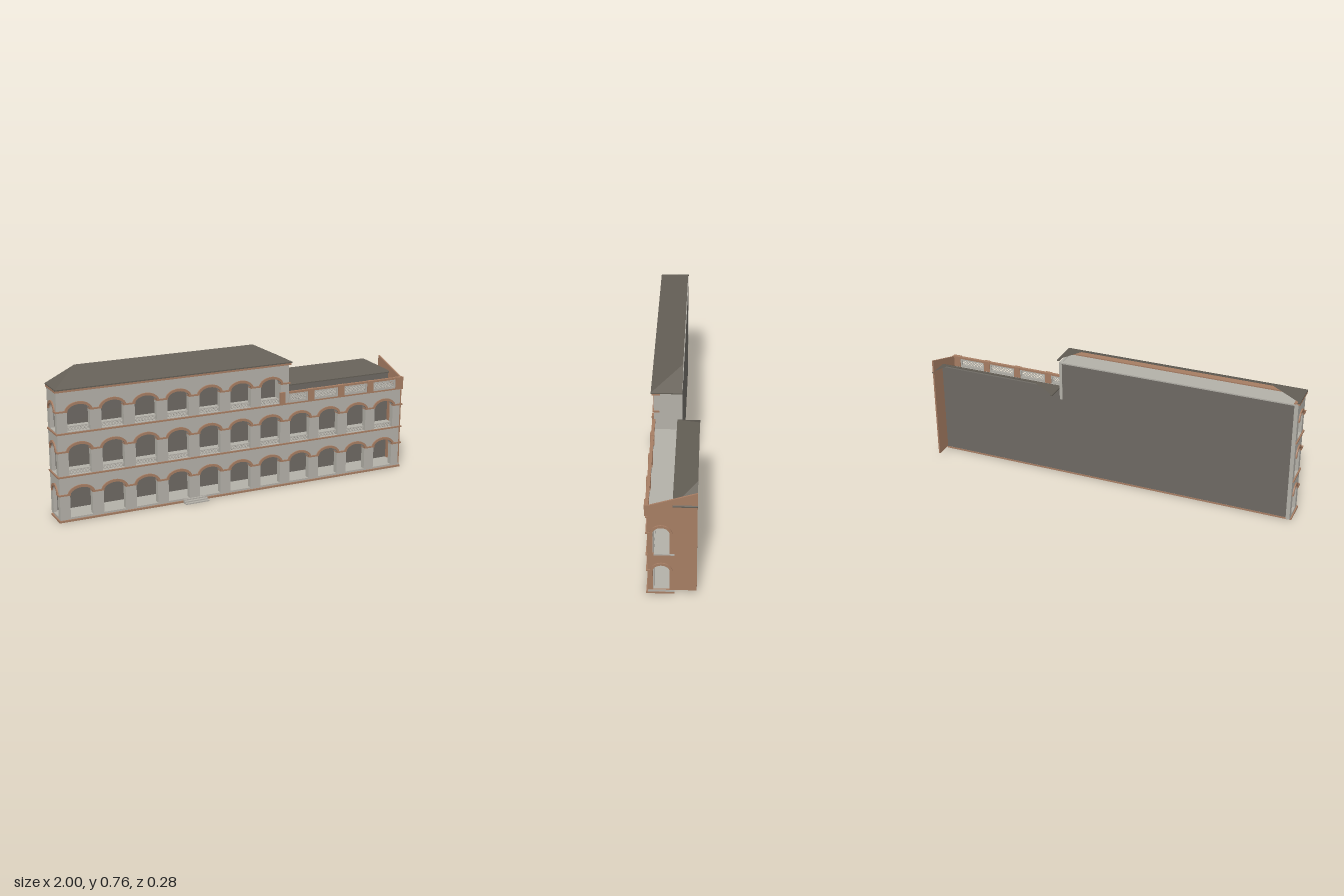
import * as THREE from 'three';
import { mergeGeometries } from 'three/addons/utils/BufferGeometryUtils.js';

const mat = (name, color, extra = {}) => {
  const m = new THREE.MeshStandardMaterial({ color, ...extra });
  m.name = name;
  return m;
};

export function createModel() {
  const stone = mat('stone', 0xb3b0a8);
  const brick = mat('brick', 0xa67d63);
  const roofing = mat('roofing', 0x645f56, { side: THREE.DoubleSide });
  const rearGrey = mat('rear wall grey', 0x6d6963);

  const group = new THREE.Group();
  const add = (name, geo, material) => {
    const m = new THREE.Mesh(geo, material);
    m.name = name;
    group.add(m);
    return m;
  };
  // Box given by its limits on each axis
  const box = (x0, x1, y0, y1, z0, z1) =>
    new THREE.BoxGeometry(x1 - x0, y1 - y0, z1 - z0)
      .translate((x0 + x1) / 2, (y0 + y1) / 2, (z0 + z1) / 2);
  const extrude = (shape, depth) =>
    new THREE.ExtrudeGeometry(shape, { depth, bevelEnabled: false, curveSegments: 14 });
  // Shapes drawn in (-z, y), extruded along +x
  const sideways = (shape, x0, depth) => extrude(shape, depth).rotateY(Math.PI / 2).translate(x0, 0, 0);
  const polygon = (pts) => new THREE.Shape(pts.map((p) => new THREE.Vector2(...p)));

  const RY = 0.036, RX = 0.0585, SIDE_RX = 0.04, SIDE_U = -0.03, RIM = 0.013;
  const PITCH = 0.1762, FRONT = 0.095;
  const levels = [
    { floor: 0.02, spring: 0.137, bays: 11, end: 0.985 },
    { floor: 0.24, spring: 0.36, bays: 11, end: 0.985 },
    { floor: 0.463, spring: 0.564, bays: 7, end: 0.283 },
  ];
  const bayX = (i) => -0.881 + i * PITCH;

  const archHole = (cx, rx, lv) => {
    const p = new THREE.Path();
    p.moveTo(cx - rx, lv.floor);
    p.lineTo(cx + rx, lv.floor);
    p.lineTo(cx + rx, lv.spring);
    p.absellipse(cx, lv.spring, rx, RY, 0, Math.PI, false);
    p.lineTo(cx - rx, lv.floor);
    return p;
  };
  const archRim = (cx, rx, y) => {
    const s = new THREE.Shape();
    s.moveTo(cx + rx + RIM, y);
    s.absellipse(cx, y, rx + RIM, RY + RIM, 0, Math.PI, false);
    s.lineTo(cx - rx, y);
    s.absellipse(cx, y, rx, RY, Math.PI, 0, true);
    s.closePath();
    return s;
  };

  // Arcaded front wall
  const facade = polygon([[-0.993, 0.01], [0.985, 0.01], [0.985, 0.46], [0.283, 0.46], [0.283, 0.672], [-0.993, 0.672]]);
  for (const lv of levels)
    for (let i = 0; i < lv.bays; i++) facade.holes.push(archHole(bayX(i), RX, lv));
  add('front arcade wall', extrude(facade, 0.03).translate(0, 0, FRONT - 0.03), stone);

  // Left end wall, open at every level
  const leftEnd = polygon([[-0.065, 0.01], [0.048, 0.01], [0.048, 0.672], [-0.065, 0.672]]);
  levels.forEach((lv) => leftEnd.holes.push(archHole(-0.025, 0.0375, lv)));
  add('left end wall', sideways(leftEnd, -0.993, 0.02), stone);

  // Right end wall with sloping top
  const rightEnd = polygon([[-0.095, 0.02], [0.138, 0.02], [0.138, 0.592], [-0.08, 0.522], [-0.095, 0.522]]);
  levels.slice(0, 2).forEach((lv) => rightEnd.holes.push(archHole(SIDE_U, SIDE_RX, lv)));
  add('right end wall', sideways(rightEnd, 0.985, 0.008), brick);
  add('upper storey end wall', box(0.268, 0.2835, 0.455, 0.672, -0.048, 0.0945), stone);

  // Rear wall
  add('rear wall upper part', box(-0.973, 0.268, 0.46, 0.664, -0.047, -0.032), rearGrey);
  add('rear wall', box(-0.973, 0.985, 0.02, 0.46, -0.047, -0.032), rearGrey);
  add('terrace rear wall', box(0.284, 0.985, 0.46, 0.516, -0.047, -0.032), rearGrey);

  // Base, floors and ceiling
  add('base', box(-1, 0.997, 0, 0.01, -0.033, 0.102), brick);
  add('ground floor', box(-0.992, 0.996, 0.01, 0.02, -0.032, 0.094), stone);
  add('first floor', box(-0.99, 0.996, 0.232, 0.24, -0.032, 0.064), stone);
  add('second floor and terrace', box(-0.99, 0.985, 0.453, 0.462, -0.032, 0.0945), stone);
  add('ceiling', box(-0.99, 0.28, 0.664, 0.671, -0.048, 0.094), stone);

  // Brick bands and cornice
  for (const y of [0.231, 0.452]) {
    add('front band', box(-1, 0.998, y, y + 0.008, 0.09, 0.102), brick);
    add('left band', box(-1, -0.99, y, y + 0.008, -0.045, 0.09), brick);
  }
  add('cornice', box(-1, 0.292, 0.667, 0.677, 0.063, 0.105), brick);
  add('left cornice', box(-1, -0.97, 0.667, 0.677, -0.045, 0.063), brick);

  // Arch mouldings and the impost bands between them
  const rims = [], imposts = [], rails = [];
  const bar = (x, y, z, len, ang) =>
    new THREE.BoxGeometry(len, 0.0035, 0.004).rotateZ(ang).translate(x, y, z);
  const lattice = (list, x0, x1, y0, y1, z, n) => {
    const w = (x1 - x0) / n, h = y1 - y0, len = Math.hypot(w, h), a = Math.atan2(h, w);
    for (let i = 0; i < n; i++)
      for (const s of [-1, 1]) list.push(bar(x0 + (i + 0.5) * w, (y0 + y1) / 2, z, len, s * a));
  };
  levels.forEach((lv, k) => {
    for (let i = 0; i < lv.bays; i++) {
      const x = bayX(i);
      rims.push(extrude(archRim(x, RX, lv.spring), 0.008).translate(0, 0, FRONT - 0.001));
      const x0 = i ? bayX(i - 1) + RX : -1;
      imposts.push(box(x0 - 0.001, x - RX + 0.001, lv.spring, lv.spring + 0.008, 0.063, 0.102));
      // Lattice railings on the upper storeys
      if (k > 0) {
        lattice(rails, x - RX, x + RX, lv.floor, lv.floor + 0.022, 0.08, 7);
        rails.push(box(x - RX, x + RX, lv.floor + 0.021, lv.floor + 0.025, 0.077, 0.083));
      }
    }
    const last = bayX(lv.bays - 1) + RX;
    imposts.push(box(last - 0.001, k < 2 ? 0.998 : 0.288, lv.spring, lv.spring + 0.008, k < 2 ? 0.08 : 0.066, 0.102));
    rims.push(sideways(archRim(-0.025, 0.0375, lv.spring), -1, 0.008));
    if (k < 2) rims.push(sideways(archRim(SIDE_U, SIDE_RX, lv.spring), 0.992, 0.007));
  });
  add('arch mouldings', mergeGeometries(rims), brick);
  add('impost bands', mergeGeometries(imposts), brick);
  add('lattice railings', mergeGeometries(rails), stone);

  // Terrace parapet: piers, rails and pierced panels
  const piers = [[0.228, 0.258], [0.396, 0.432], [0.582, 0.618], [0.766, 0.802], [0.948, 0.994]];
  const panels = [];
  piers.forEach(([a, b], i) => {
    add('parapet pier', box(a, b, 0.46, 0.522, i ? 0.086 : 0.0945, 0.107), brick);
    if (i === 4) return;
    const x0 = i ? b : 0.2835, x1 = piers[i + 1][0];
    const frame = polygon([[x0, 0.46], [x1, 0.46], [x1, 0.512], [x0, 0.512]]);
    const hx0 = x0 + 0.008, hx1 = x1 - 0.008;
    frame.holes.push(polygon([[hx0, 0.473], [hx1, 0.473], [hx1, 0.504], [hx0, 0.504]]));
    panels.push(extrude(frame, 0.01).translate(0, 0, 0.09));
    add('parapet rail', box(x0, x1, 0.511, 0.521, 0.087, 0.103), brick);
    const bars = [];
    lattice(bars, hx0, hx1, 0.473, 0.4885, 0.095, 7);
    lattice(bars, hx0, hx1, 0.4885, 0.504, 0.095, 7);
    add('parapet lattice', mergeGeometries(bars), stone);
  });
  add('parapet panels', mergeGeometries(panels), stone);

  // Half-hipped roofs, open at the back, with thin eaves
  const halfHip = (name, x0, x1, zf, zb, ye, yr, r0, r1) => {
    const A = [x0, ye, zf], B = [x1, ye, zf], C = [r1, yr, zb], D = [r0, yr, zb], E = [x0, ye, zb], F = [x1, ye, zb];
    const g = new THREE.BufferGeometry();
    g.setAttribute('position', new THREE.Float32BufferAttribute([A, B, C, A, C, D, E, A, D, B, F, C].flat(), 3));
    g.computeVertexNormals();
    add(name, g, roofing);
    const yb = ye - 0.006;
    add(name + ' front eave', box(x0, x1, yb, ye, zf - 0.012, zf), roofing);
    add(name + ' left eave', box(x0, x0 + 0.012, yb, ye, zb, zf - 0.012), roofing);
    add(name + ' right eave', box(x1 - 0.012, x1, yb, ye, zb, zf - 0.012), roofing);
  };
  halfHip('main roof', -1, 0.295, 0.109, -0.048, 0.684, 0.76, -0.845, 0.14);
  halfHip('terrace roof', 0.285, 0.998, -0.023, -0.138, 0.522, 0.584, 0.4, 0.885);

  // Entrance steps
  for (let i = 0; i < 3; i++)
    add('entrance step', box(-0.333, -0.203, i * 0.0065, (i + 1) * 0.0065, 0.1, 0.139 - i * 0.014), stone);

  return group;
}
